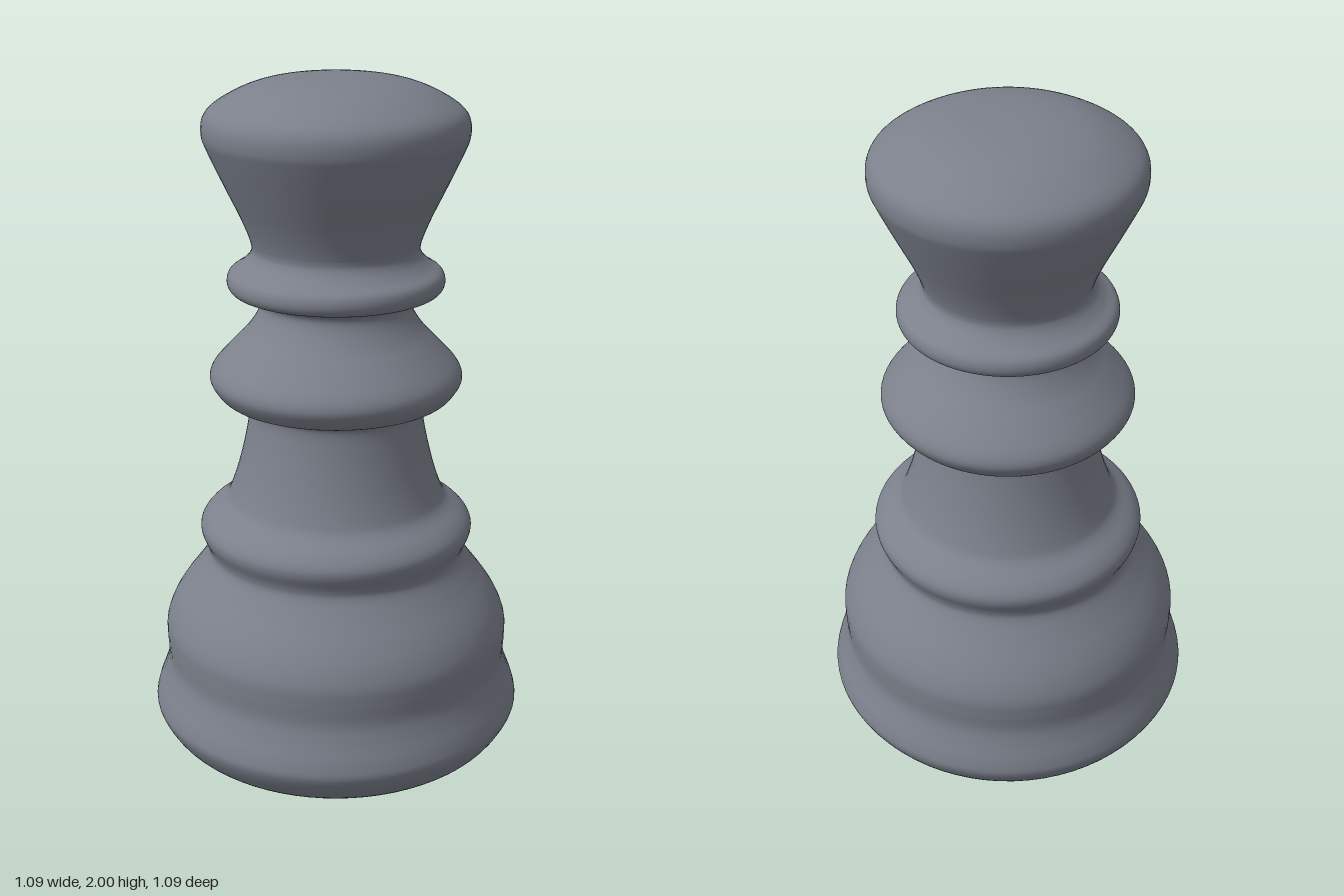
import * as THREE from 'three';

// Radius and height of each turned section; each ends where the next begins.
const sections = [
  ['hollowUnderside', [[0, 0.11], [0.1, 0.105], [0.2, 0.075], [0.28, 0.02], [0.34, 0.001]]],
  ['baseRing', [[0.38, 0.008], [0.44, 0.035], [0.5, 0.08], [0.54, 0.145], [0.537, 0.19], [0.515, 0.25], [0.502, 0.3]]],
  ['baseDome', [[0.504, 0.36], [0.503, 0.41], [0.485, 0.46], [0.455, 0.51], [0.41, 0.57], [0.377, 0.62]]],
  ['lowerCollar', [[0.377, 0.65], [0.394, 0.69], [0.393, 0.72], [0.37, 0.75], [0.325, 0.785]]],
  ['stem', [[0.305, 0.82], [0.279, 0.9], [0.256, 1.0], [0.249, 1.065]]],
  ['middleCollar', [[0.27, 1.085], [0.32, 1.1], [0.348, 1.13], [0.359, 1.16], [0.345, 1.195], [0.295, 1.25], [0.248, 1.3], [0.217, 1.35]]],
  ['upperCollar', [[0.217, 1.38], [0.25, 1.396], [0.29, 1.407], [0.305, 1.43], [0.298, 1.46], [0.265, 1.483], [0.24, 1.51]]],
  ['flaredHead', [[0.236, 1.54], [0.262, 1.61], [0.31, 1.71], [0.352, 1.8], [0.366, 1.84], [0.363, 1.885], [0.335, 1.92],
    [0.265, 1.96], [0.19, 1.985], [0.1, 1.998], [0, 2.0]]],
];

const STEPS = 5; // curve samples between neighbouring profile points
const SIDES = 72;

export function createModel() {
  const model = new THREE.Group();
  model.name = 'chessPiece';
  const slate = new THREE.MeshStandardMaterial({ color: 0x7b808b });
  slate.name = 'slateGrey';

  // One smooth curve runs through all sections, so the seams stay continuous.
  const all = sections.flatMap(([, pts]) => pts.map(([r, y]) => new THREE.Vector2(r, y)));
  const curve = new THREE.SplineCurve(all);
  const samples = curve.getPoints((all.length - 1) * STEPS);
  for (const p of samples) p.x = Math.max(p.x, 0);

  let start = 0;
  for (const [name, pts] of sections) {
    const end = Math.min(start + pts.length * STEPS, samples.length - 1);
    const mesh = new THREE.Mesh(new THREE.LatheGeometry(samples.slice(start, end + 1), SIDES), slate);
    mesh.name = name;
    model.add(mesh);
    start = end;
  }
  return model;
}
